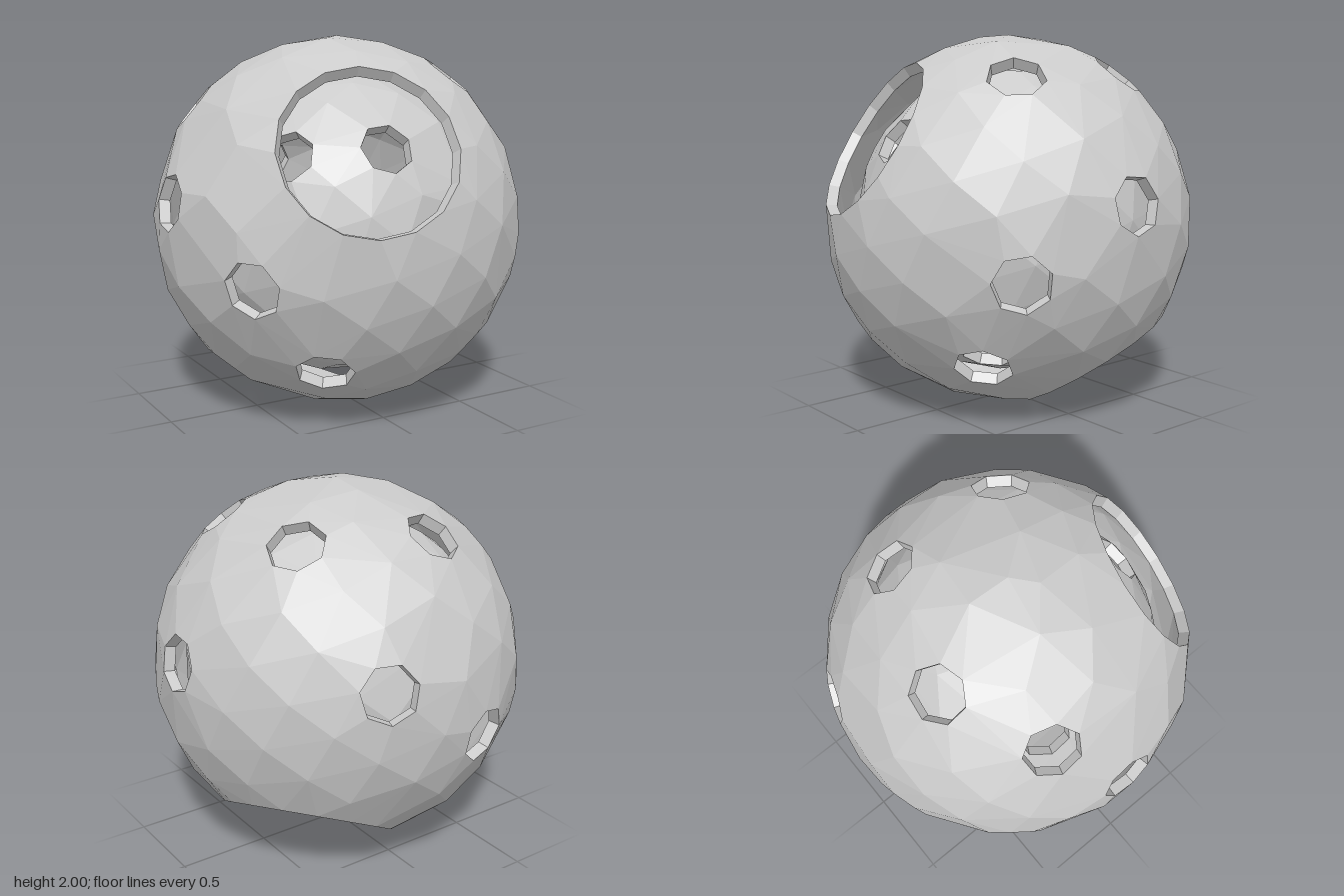
import * as THREE from 'three';
import { ConvexGeometry } from 'three/addons/geometries/ConvexGeometry.js';

const Z = new THREE.Vector3(0, 0, 1);

// A hole: unit direction, angular radius, number of sides
const hole = (angle, sides) => ([x, y, z]) => ({ n: new THREE.Vector3(x, y, z).normalize(), angle, sides });

function rimPoints({ n, angle, sides }, radius) {
  const q = new THREE.Quaternion().setFromUnitVectors(Z, n);
  return Array.from({ length: sides }, (_, i) => {
    const t = (i / sides) * Math.PI * 2 + 0.3;
    return new THREE.Vector3(Math.cos(t) * Math.sin(angle), Math.sin(t) * Math.sin(angle), Math.cos(angle))
      .applyQuaternion(q).multiplyScalar(radius);
  });
}

// Faceted hollow ball: hull of scattered points and hole rims, with the hole caps left out
function piercedShell(radius, innerRatio, holes, count, margin) {
  const rims = holes.map(h => rimPoints(h, radius));
  const points = rims.flat();
  for (let i = 0; i < count; i++) {
    const y = 1 - (2 * i) / (count - 1);
    const r = Math.sqrt(Math.max(0, 1 - y * y));
    const p = new THREE.Vector3(Math.cos(i * 2.39996) * r, y, Math.sin(i * 2.39996) * r);
    if (holes.every(h => p.angleTo(h.n) > h.angle + margin)) points.push(p.multiplyScalar(radius));
  }

  const out = [];
  const tri = (...corners) => corners.forEach(c => out.push(c.x, c.y, c.z));
  const inward = p => p.clone().multiplyScalar(innerRatio);

  // Outer and inner skins
  const pos = new ConvexGeometry(points).getAttribute('position');
  for (let i = 0; i < pos.count; i += 3) {
    const [a, b, c] = [0, 1, 2].map(k => new THREE.Vector3().fromBufferAttribute(pos, i + k));
    const open = holes.some(h => [a, b, c].every(p => p.dot(h.n) / radius > Math.cos(h.angle) - 0.001));
    if (open) continue;
    tri(a, b, c);
    tri(inward(a), inward(c), inward(b));
  }

  // Walls around each hole
  for (const rim of rims) {
    rim.forEach((a, i) => {
      const b = rim[(i + 1) % rim.length];
      tri(a, b, inward(b));
      tri(a, inward(b), inward(a));
    });
  }

  const g = new THREE.BufferGeometry();
  g.setAttribute('position', new THREE.Float32BufferAttribute(out, 3));
  g.computeVertexNormals();
  return g;
}

export function createModel() {
  const group = new THREE.Group();
  const material = new THREE.MeshStandardMaterial({ color: 0xcccccc, flatShading: true });

  // Two wide windows and fourteen small holes in the outer ball
  const outerHoles = [
    ...[[-0.26, 0.52, 0.81], [0.42, -0.83, -0.31]].map(hole(0.475, 16)),
    ...[
      [0.98, 0.18, 0], [-0.98, 0.17, 0],
      [0.8, -0.17, 0.58], [-0.79, -0.19, 0.57],
      [0.5, -0.64, 0.58], [-0.42, -0.64, 0.62],
      [0.48, 0.79, 0.35], [0.48, 0.79, -0.35],
      [-0.18, 0.79, -0.58], [-0.7, 0.62, -0.3],
      [0.34, 0.18, -0.93], [-0.25, -0.18, -0.94],
      [-0.76, -0.21, -0.59], [-0.64, -0.75, -0.03],
    ].map(hole(0.152, 7)),
  ];

  // Small holes in the loose inner ball
  const innerHoles = [
    [-0.1, 0.46, 0.67], [-0.54, 0.43, 0.46],
    [0.1, -0.72, -0.36], [0.61, -0.48, -0.24],
    [0.3, -0.64, 0.39], [-0.58, 0.5, -0.25],
    [-0.68, -0.17, -0.4], [0.05, 0.81, 0],
    [0.4, 0.13, 0.7], [0.6, 0.05, -0.55],
    [-0.05, 0.25, -0.78], [-0.3, -0.7, -0.28],
    [-0.25, -0.2, 0.75],
  ].map(hole(0.165, 7));

  const add = (name, geometry) => {
    const mesh = new THREE.Mesh(geometry, material);
    mesh.name = name;
    mesh.position.y = 1;
    group.add(mesh);
  };
  add('outerBall', piercedShell(1, 0.94, outerHoles, 170, 0.13));
  add('innerBall', piercedShell(0.83, 0.93, innerHoles, 150, 0.15));
  return group;
}
